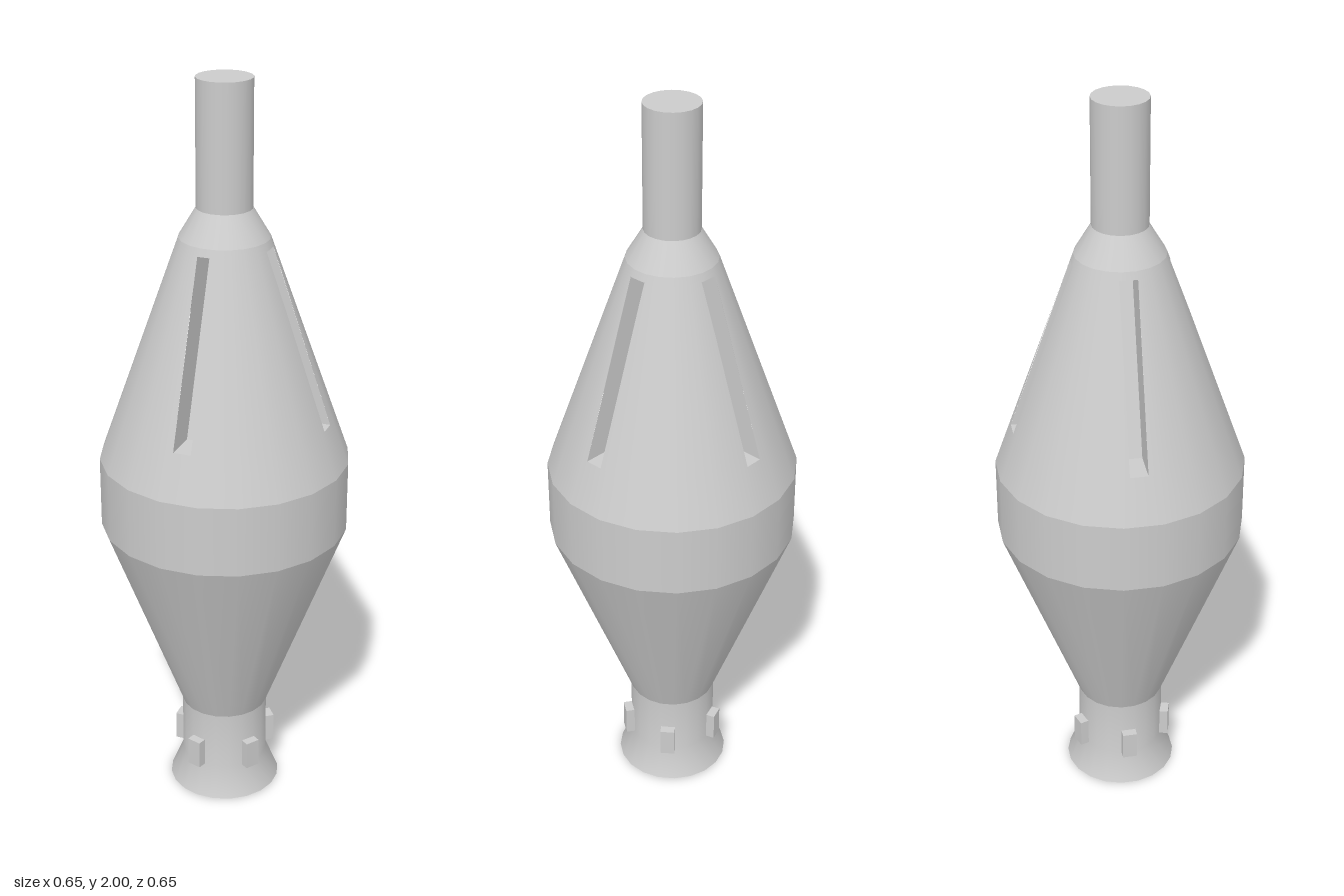
import * as THREE from 'three';

const SIDES = 20;
const STEP = (2 * Math.PI) / SIDES;
const START = THREE.MathUtils.degToRad(10); // angle of the first body vertex
const HALF_SLOT = 0.0235;
const SLOT_LOW = 1.12, SLOT_HIGH = 1.58, SLOT_DEPTH = 0.088;
const CONE = { r0: 0.33, y0: 1.0, r1: 0.117, y1: 1.6 };
const SLOPE = (CONE.r0 - CONE.r1) / (CONE.y1 - CONE.y0);

const coneRadius = (y) => CONE.r0 - SLOPE * (y - CONE.y0);

// Radius of the 20-sided ring at a given angle and height
function ringRadius(phi, y) {
  const t = (phi - START) / STEP;
  const d = (t - Math.floor(t) - 0.5) * STEP;
  return (coneRadius(y) * Math.cos(STEP / 2)) / Math.cos(d);
}

// Angle at which a slot side wall meets the cone, on the side given by sign
function slotAngle(y, sign) {
  let phi = 0;
  for (let i = 0; i < 5; i++) phi = sign * Math.asin(HALF_SLOT / ringRadius(phi, y));
  return phi;
}

// Cone surface between two neighbouring slots
function panelGeometry() {
  const rows = 10, cols = 6, pos = [], nor = [], idx = [];
  for (let i = 0; i <= rows; i++) {
    const y = SLOT_LOW + ((SLOT_HIGH - SLOT_LOW) * i) / rows;
    const a = slotAngle(y, 1), b = Math.PI / 2 + slotAngle(y, -1);
    for (let j = 0; j <= cols; j++) {
      let phi = Math.min(b, Math.max(a, START + (j - 1) * STEP));
      if (j === 0) phi = a;
      if (j === cols) phi = b;
      const r = ringRadius(phi, y);
      pos.push(r * Math.sin(phi), y, r * Math.cos(phi));
      const n = new THREE.Vector3(Math.sin(phi), SLOPE, Math.cos(phi)).normalize();
      nor.push(n.x, n.y, n.z);
      if (i < rows && j < cols) {
        const k = i * (cols + 1) + j, up = k + cols + 1;
        idx.push(k, k + 1, up + 1, k, up + 1, up);
      }
    }
  }
  const g = new THREE.BufferGeometry();
  g.setAttribute('position', new THREE.Float32BufferAttribute(pos, 3));
  g.setAttribute('normal', new THREE.Float32BufferAttribute(nor, 3));
  g.setIndex(idx);
  return g;
}

// Floor, back, ceiling and two sides of a slot that opens towards +z
function slotGeometry() {
  const edge = (y, s) => {
    const phi = slotAngle(y, s);
    return [s * HALF_SLOT, y, ringRadius(phi, y) * Math.cos(phi)];
  };
  const inner = (y, s) => [s * HALF_SLOT, y, edge(y, s)[2] - SLOT_DEPTH];
  const corners = (s) => [edge(SLOT_LOW, s), inner(SLOT_LOW, s), inner(SLOT_HIGH, s), edge(SLOT_HIGH, s)];
  const L = corners(1), R = corners(-1);
  const quads = [
    [R[0], L[0], L[1], R[1]], // floor
    [R[1], L[1], L[2], R[2]], // back
    [R[2], L[2], L[3], R[3]], // ceiling
    [L[0], L[3], L[2], L[1]], // left side
    [R[0], R[1], R[2], R[3]], // right side
  ];
  const pos = quads.flatMap(([a, b, c, d]) => [a, b, c, a, c, d].flat());
  const g = new THREE.BufferGeometry();
  g.setAttribute('position', new THREE.Float32BufferAttribute(pos, 3));
  g.computeVertexNormals();
  return g;
}

export function createModel() {
  const model = new THREE.Group();
  model.name = 'slottedFloat';
  const material = new THREE.MeshStandardMaterial({ color: 0xcccccc });
  const open = new THREE.MeshStandardMaterial({ color: 0xcccccc, side: THREE.DoubleSide });

  const add = (name, geometry, mat = material) => {
    const mesh = new THREE.Mesh(geometry, mat);
    mesh.name = name;
    model.add(mesh);
    return mesh;
  };
  const band = (name, ...points) =>
    add(name, new THREE.LatheGeometry(points.map(([r, y]) => new THREE.Vector2(r, y)), SIDES, START));

  // Turned body, from the base up; separate bands keep their edges sharp
  band('baseCap', [0, 0], [0.153, 0]);
  band('flaredNeck', [0.153, 0], [0.118, 0.085], [0.118, 0.25]);
  band('lowerCone', [0.118, 0.25], [0.33, 0.81]);
  band('waist', [0.33, 0.81], [0.33, 1.0]);
  band('upperConeBottom', [0.33, 1.0], [coneRadius(SLOT_LOW), SLOT_LOW]);
  band('upperConeTop', [coneRadius(SLOT_HIGH), SLOT_HIGH], [0.117, 1.6]);
  band('shoulder', [0.117, 1.6], [0.072, 1.675]);
  band('stem', [0.072, 1.675], [0.072, 2]);
  band('stemCap', [0.072, 2], [0, 2]);

  // Four slots and the cone panels between them
  const panel = panelGeometry(), slot = slotGeometry();
  for (let i = 0; i < 4; i++) {
    add('upperConePanel', panel).rotation.y = (i * Math.PI) / 2;
    add('slot', slot, open).rotation.y = (i * Math.PI) / 2;
  }

  // Five lugs around the neck
  const lug = new THREE.BoxGeometry(0.04, 0.08, 0.04).translate(0, 0.125, 0.12);
  for (let i = 0; i < 5; i++) {
    add('neckLug', lug).rotation.y = THREE.MathUtils.degToRad(-16 + i * 72);
  }
  return model;
}
